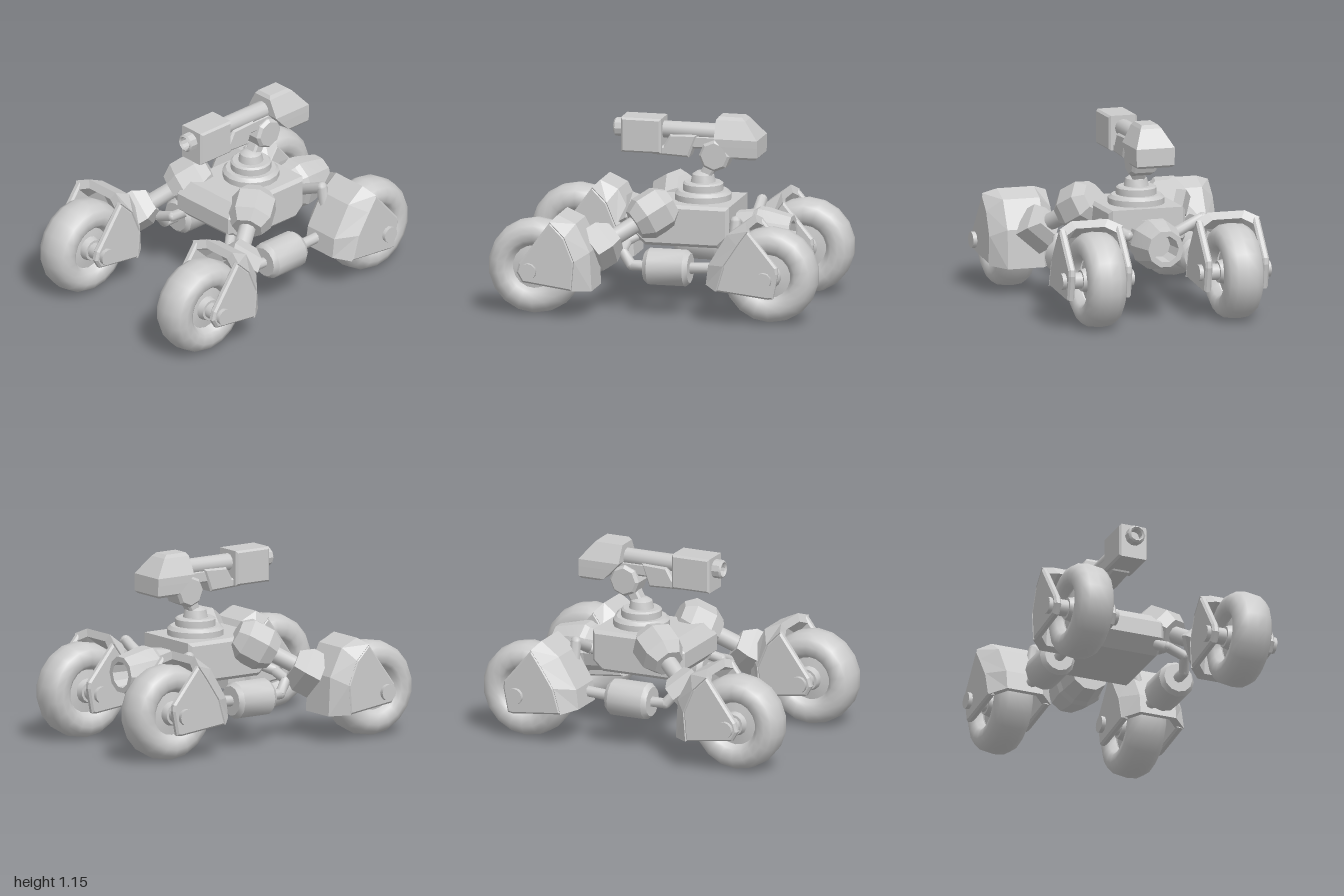
import * as THREE from 'three';
import { toCreasedNormals } from 'three/addons/utils/BufferGeometryUtils.js';

const material = new THREE.MeshStandardMaterial({ color: 0xcccccc, side: THREE.DoubleSide });
const V = (x, y, z) => new THREE.Vector3(x, y, z);

function add(parent, name, geometry, x = 0, y = 0, z = 0) {
  const mesh = new THREE.Mesh(geometry, material);
  mesh.name = name;
  mesh.position.set(x, y, z);
  parent.add(mesh);
  return mesh;
}

// Side outline in x/y extruded along z, centred, with small chamfers
function prism(points, width, bevel = 0.012) {
  const shape = new THREE.Shape(points.map(p => new THREE.Vector2(p[0], p[1])));
  const g = new THREE.ExtrudeGeometry(shape, {
    depth: width - 2 * bevel, bevelEnabled: true, bevelSegments: 1,
    bevelSize: bevel, bevelThickness: bevel, bevelOffset: -bevel,
  });
  return g.translate(0, 0, bevel - width / 2);
}

const box = (x0, x1, y0, y1, w, bevel) => prism([[x0, y0], [x1, y0], [x1, y1], [x0, y1]], w, bevel);

// Skin over closed loops of points, capped in strips, always facing outward
function loft(loops) {
  const tris = [], n = loops[0].length, last = loops[loops.length - 1];
  const quad = (a, b, c, d) => tris.push([a, b, c], [a, c, d]);
  for (let k = 0; k < loops.length - 1; k++)
    for (let i = 0; i < n; i++) {
      const j = (i + 1) % n;
      quad(loops[k][i], loops[k][j], loops[k + 1][j], loops[k + 1][i]);
    }
  for (let i = 0; i < n / 2 - 1; i++) {
    quad(loops[0][n - 1 - i], loops[0][n - 2 - i], loops[0][i + 1], loops[0][i]);
    quad(last[i], last[i + 1], last[n - 2 - i], last[n - 1 - i]);
  }
  const volume = tris.reduce((s, [a, b, c]) => s + a.dot(b.clone().cross(c)), 0);
  if (volume < 0) tris.forEach(t => t.reverse());
  const g = new THREE.BufferGeometry().setFromPoints(tris.flat());
  g.computeVertexNormals();
  return g;
}

// Revolved profile of [radius, height] around y
function lathe(profile, sides, crease = 0.6) {
  return toCreasedNormals(new THREE.LatheGeometry(profile.map(p => new THREE.Vector2(p[0], p[1])), sides), crease);
}

const along = (mesh, dir) => {
  mesh.quaternion.setFromUnitVectors(V(0, 1, 0), dir.clone().normalize());
  return mesh;
};

function rod(parent, name, a, b, r, sides = 8) {
  const mid = a.clone().add(b).multiplyScalar(0.5);
  const g = toCreasedNormals(new THREE.CylinderGeometry(r, r, a.distanceTo(b), sides), 0.9);
  return along(add(parent, name, g, mid.x, mid.y, mid.z), b.clone().sub(a));
}

function pipe(parent, name, points, r) {
  for (let i = 0; i < points.length - 1; i++) {
    rod(parent, name, points[i], points[i + 1], r);
    if (i) add(parent, name + 'Elbow', new THREE.SphereGeometry(r, 8, 6), ...points[i].toArray());
  }
}

// Wheel with fork and hood; d is the direction along x towards the body
function wheelUnit(parent, name, x, z, d, ridge, side, lug) {
  const unit = new THREE.Group();
  unit.name = name;
  unit.position.set(x, 0.297, z);
  parent.add(unit);

  const tyre = lathe([[0.13, -0.06], [0.15, -0.1], [0.17, -0.115], [0.215, -0.12], [0.255, -0.1], [0.28, -0.06],
    [0.288, 0], [0.28, 0.06], [0.255, 0.1], [0.215, 0.12], [0.17, 0.115], [0.15, 0.1], [0.13, 0.06]], 18);
  add(unit, 'tyre', tyre.rotateX(Math.PI / 2));
  const hub = lathe([[0, -0.1], [0.065, -0.1], [0.075, -0.06], [0.135, -0.05], [0.135, 0.05], [0.075, 0.06], [0.065, 0.1], [0, 0.1]], 14);
  add(unit, 'hub', hub.rotateX(Math.PI / 2));
  rod(unit, 'axle', V(0, 0, -0.225), V(0, 0, 0.225), 0.05, 12);

  const outline = [...side, ...lug].map(p => [p[0] * d, p[1]]);
  for (const s of [1, -1]) add(unit, 'forkPlate', prism(outline, 0.045), 0, 0, s * 0.178);

  const k = 0.87;
  add(unit, 'hood', loft(ridge.map((p, i) => {
    const q = side[i];
    const at = (c, f, w) => V(c[0] * d * f, c[1] * f, w);
    return [at(q, 1, 0.2), at(p, 1, 0.115), at(p, 1, -0.115), at(q, 1, -0.2),
      at(q, k, -0.16), at(p, k, -0.09), at(p, k, 0.09), at(q, k, 0.16)];
  })));
}

// Copy of a group reflected across z = 0, with corner order restored
function mirrored(source, name) {
  const out = new THREE.Group();
  out.name = name;
  source.updateMatrixWorld(true);
  source.traverse(o => {
    if (!o.isMesh) return;
    const g = o.geometry.index ? o.geometry.toNonIndexed() : o.geometry.clone();
    g.applyMatrix4(o.matrixWorld).scale(1, 1, -1);
    for (const key of ['position', 'normal']) {
      const a = g.attributes[key];
      for (let i = 0; i < a.count; i += 3) {
        const p = V().fromBufferAttribute(a, i + 1), q = V().fromBufferAttribute(a, i + 2);
        a.setXYZ(i + 1, q.x, q.y, q.z);
        a.setXYZ(i + 2, p.x, p.y, p.z);
      }
    }
    add(out, o.name, g);
  });
  return out;
}

function buildSide() {
  const side = new THREE.Group();
  side.name = 'nearSide';

  wheelUnit(side, 'outriggerWheel', -0.712, 0.51, 1,
    [[0.16, 0.335], [0.27, 0.285], [0.355, 0.115], [0.367, -0.12]],
    [[0.13, 0.305], [0.22, 0.215], [0.28, 0.07], [0.265, -0.11]],
    [[-0.04, -0.07], [-0.075, -0.01], [-0.06, 0.045]]);
  wheelUnit(side, 'driveWheel', 0.71, 0.43, -1,
    [[0.13, 0.335], [0.245, 0.25], [0.36, 0.06], [0.375, -0.06]],
    [[0.1, 0.295], [0.165, 0.205], [0.25, 0.075], [0.295, -0.08]],
    [[-0.025, -0.115], [-0.055, -0.11], [-0.085, 0.04], [-0.08, 0.08]]);

  // Outrigger arm: shoulder, strut and socket
  const dir = V(-0.17, -0.11, 0.105).normalize();
  const shoulder = V(-0.06, 0.595, 0.27);
  const knob = lathe([[0, -0.13], [0.09, -0.13], [0.14, -0.07], [0.14, 0.06], [0.095, 0.13], [0, 0.13]], 7, 0.1);
  along(add(side, 'shoulder', knob, ...shoulder.toArray()), dir);
  const socketAt = shoulder.clone().addScaledVector(dir, 0.35);
  rod(side, 'strut', shoulder, socketAt, 0.052, 10);
  const socket = lathe([[0, -0.09], [0.09, -0.09], [0.14, -0.02], [0.14, 0.08], [0, 0.08]], 4, 0.1).rotateY(0.6);
  along(add(side, 'socket', socket, ...socketAt.toArray()), dir);

  // Side tank and its plumbing
  const tank = lathe([[0, -0.138], [0.09, -0.138], [0.112, -0.11], [0.112, 0.11], [0.09, 0.138], [0, 0.138]], 12);
  add(side, 'tank', tank.rotateZ(Math.PI / 2), 0.063, 0.297, 0.385);
  pipe(side, 'frontPipe', [V(-0.17, 0.44, 0.2), V(-0.225, 0.41, 0.25), V(-0.225, 0.37, 0.36), V(-0.16, 0.297, 0.385), V(-0.07, 0.297, 0.385)], 0.032);
  pipe(side, 'rearFrame', [V(0.2, 0.297, 0.385), V(0.4, 0.31, 0.385), V(0.455, 0.38, 0.37), V(0.46, 0.58, 0.32), V(0.46, 0.5, 0.15), V(0.38, 0.48, 0.12)], 0.034);
  return side;
}

function buildWeapon() {
  const gun = new THREE.Group();
  gun.name = 'turret';
  // Stepped swivel base
  add(gun, 'swivelBase', lathe([[0, 0.62], [0.17, 0.62], [0.17, 0.675], [0.15, 0.695], [0.122, 0.695],
    [0.122, 0.735], [0.11, 0.745], [0.075, 0.745], [0.065, 0.79], [0.035, 0.81], [0, 0.81]], 16), 0.18, 0, 0);
  // Neck and elbow
  add(gun, 'neck', prism([[0.15, 0.77], [0.21, 0.74], [0.3, 0.89], [0.23, 0.92]], 0.08));
  const elbow = lathe([[0, -0.078], [0.08, -0.078], [0.096, -0.06], [0.096, 0.06], [0.08, 0.078], [0, 0.078]], 8, 0.1);
  add(gun, 'elbow', elbow.rotateX(Math.PI / 2), 0.265, 0.915, 0);
  // Barrel, shroud and muzzle
  rod(gun, 'barrel', V(-0.1, 1.05, 0), V(0.3, 1.05, 0), 0.052, 12);
  add(gun, 'shroud', box(-0.305, -0.058, 0.915, 1.125, 0.18, 0.012));
  const muzzle = lathe([[0, 0], [0.035, 0], [0.035, 0.05], [0.045, 0.06], [0.056, 0.05], [0.056, 0]], 10);
  add(gun, 'muzzle', muzzle.rotateZ(Math.PI / 2), -0.302, 1.05, 0);
  add(gun, 'cradle', prism([[-0.135, 0.95], [-0.05, 0.96], [-0.01, 1.03], [0.155, 1.035], [0.105, 0.895], [-0.115, 0.905]], 0.12));
  add(gun, 'receiver', box(0.1, 0.4, 0.95, 1.03, 0.1));
  // Housing behind the barrel, narrowing upward
  const ring = (y, x0, x1, w) => [V(x0, y, -w), V(x0, y, w), V(x1, y, w), V(x1, y, -w)];
  add(gun, 'housing', loft([ring(0.91, 0.41, 0.525, 0.105), ring(0.925, 0.375, 0.54, 0.118), ring(0.985, 0.315, 0.54, 0.12),
    ring(1.03, 0.275, 0.54, 0.12), ring(1.135, 0.275, 0.455, 0.065), ring(1.155, 0.29, 0.43, 0.05)]));
  return gun;
}

export function createModel() {
  const model = new THREE.Group();
  model.name = 'fourWheeledRover';

  // Hull with sloped nose
  add(model, 'hull', prism([[-0.12, 0.39], [-0.21, 0.47], [-0.21, 0.57], [-0.14, 0.64], [0.395, 0.64], [0.395, 0.45], [0.33, 0.39]], 0.48, 0.02));

  // Rear thruster with hollow nozzle
  const nozzle = lathe([[0, -0.36], [0.12, -0.36], [0.14, -0.5], [0.156, -0.53], [0.15, -0.58], [0.112, -0.73],
    [0.08, -0.73], [0.07, -0.6], [0, -0.6]], 10, 0.3);
  add(model, 'thruster', nozzle.rotateZ(Math.PI / 2), 0, 0.455, 0);

  const side = buildSide();
  model.add(side, mirrored(side, 'farSide'), buildWeapon());
  return model;
}
